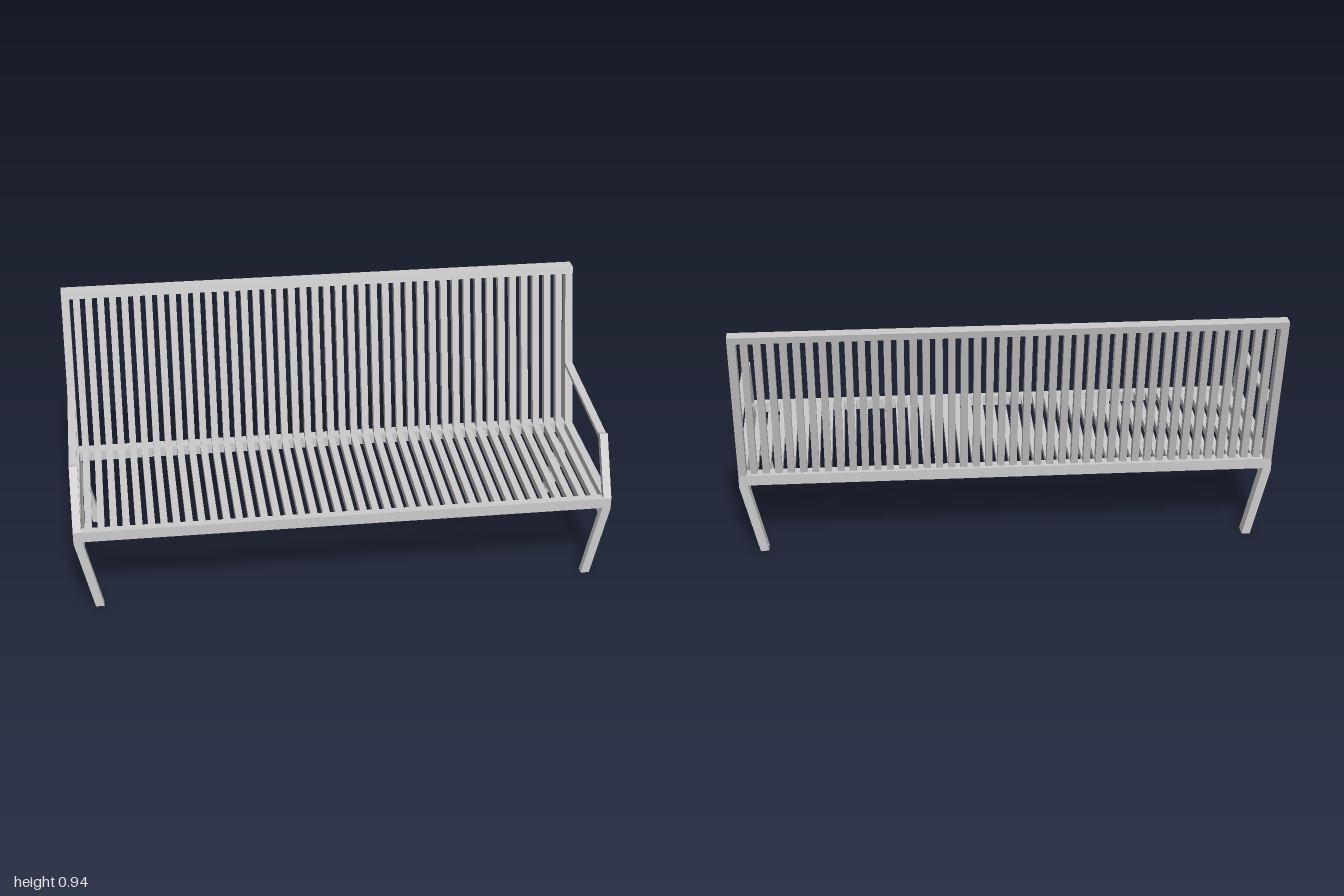
import * as THREE from 'three';

const material = new THREE.MeshStandardMaterial({ color: 0xcccccc, flatShading: true });

const extrude = (points, depth) => new THREE.ExtrudeGeometry(
  new THREE.Shape(points.map(([a, b]) => new THREE.Vector2(a, b))),
  { depth, bevelEnabled: false });

// Front profile [x, y] swept along z from z0 to z1
const alongZ = (points, z0, z1) => extrude(points, z1 - z0).translate(0, 0, z0);

// Side profile [z, y] swept along x from x0 to x1
const alongX = (points, x0, x1) => extrude(points, x1 - x0).rotateY(-Math.PI / 2).translate(x1, 0, 0);

export function createModel() {
  const bench = new THREE.Group();
  bench.name = 'bench';

  const add = (name, geometry, parent = bench) => {
    const mesh = new THREE.Mesh(geometry, material);
    mesh.name = name;
    parent.add(mesh);
    return mesh;
  };

  const TOP = 0.937, SEAT = 0.32, W = 0.03;
  // Front face of the leaning backrest: z at height y
  const backZ = (y) => -0.21 - 0.145 * (y - SEAT) / (TOP - SEAT);
  const leaning = (y0, y1, depth) => [
    [backZ(y0), y0], [backZ(y1), y1], [backZ(y1) - depth, y1], [backZ(y0) - depth, y0]];

  // Seat and backrest rails across the width
  const rail = (z0, z1) => [[z0, 0.28], [z1, 0.28], [z1, SEAT], [z0, SEAT]];
  add('frontRail', alongX(rail(0.373, 0.405), -1, 1));
  add('rearRail', alongX(rail(-0.26, -0.21), -1, 1));
  add('topRail', alongX(leaning(0.91, TOP, 0.05), -1, 1));

  // Side frames: bent seat rail, splayed legs, back post, armrest
  const mirrored = (profile, s) => profile.map(([x, y]) => [s * x, y]);
  const legProfile = [[1, SEAT], [1, 0.275], [0.934, 0], [0.902, 0], [0.966, 0.27], [0.97, SEAT]];
  const sideProfile = [[1, SEAT], [1, 0.275], [0.993, 0.245], [0.96, 0.245], [0.966, 0.27], [0.97, SEAT]];
  const armProfile = [
    [0.405, SEAT], [0.295, 0.535], [0.265, 0.527], [-0.267, 0.56],
    [-0.263, 0.545], [0.275, 0.51], [0.375, SEAT]];

  for (const [side, s] of [['left', 1], ['right', -1]]) {
    const frame = new THREE.Group();
    frame.name = side + 'SideFrame';
    bench.add(frame);
    const x0 = s > 0 ? 1 - W : -1;
    add('sideRail', alongZ(mirrored(sideProfile, s), -0.26, 0.405), frame);
    add('frontLeg', alongZ(mirrored(legProfile, s), 0.375, 0.405), frame);
    add('rearLeg', alongZ(mirrored(legProfile, s), -0.26, -0.21), frame);
    add('backPost', alongX(leaning(SEAT, TOP, 0.05), x0, x0 + W), frame);
    add('armrest', alongX(armProfile, x0, x0 + W), frame);
  }

  // Evenly spaced slats of the seat and backrest
  const COUNT = 42, PITCH = 0.046, SLAT = 0.026;
  const seatSlat = new THREE.BoxGeometry(SLAT, 0.03, 0.6).translate(0, 0.303, 0.08);
  const backSlat = alongX(leaning(0.315, 0.915, 0.035), -SLAT / 2, SLAT / 2);
  for (let i = 0; i < COUNT; i++) {
    const x = (i - (COUNT - 1) / 2) * PITCH;
    add('seatSlat', seatSlat).position.x = x;
    add('backSlat', backSlat).position.x = x;
  }

  return bench;
}
